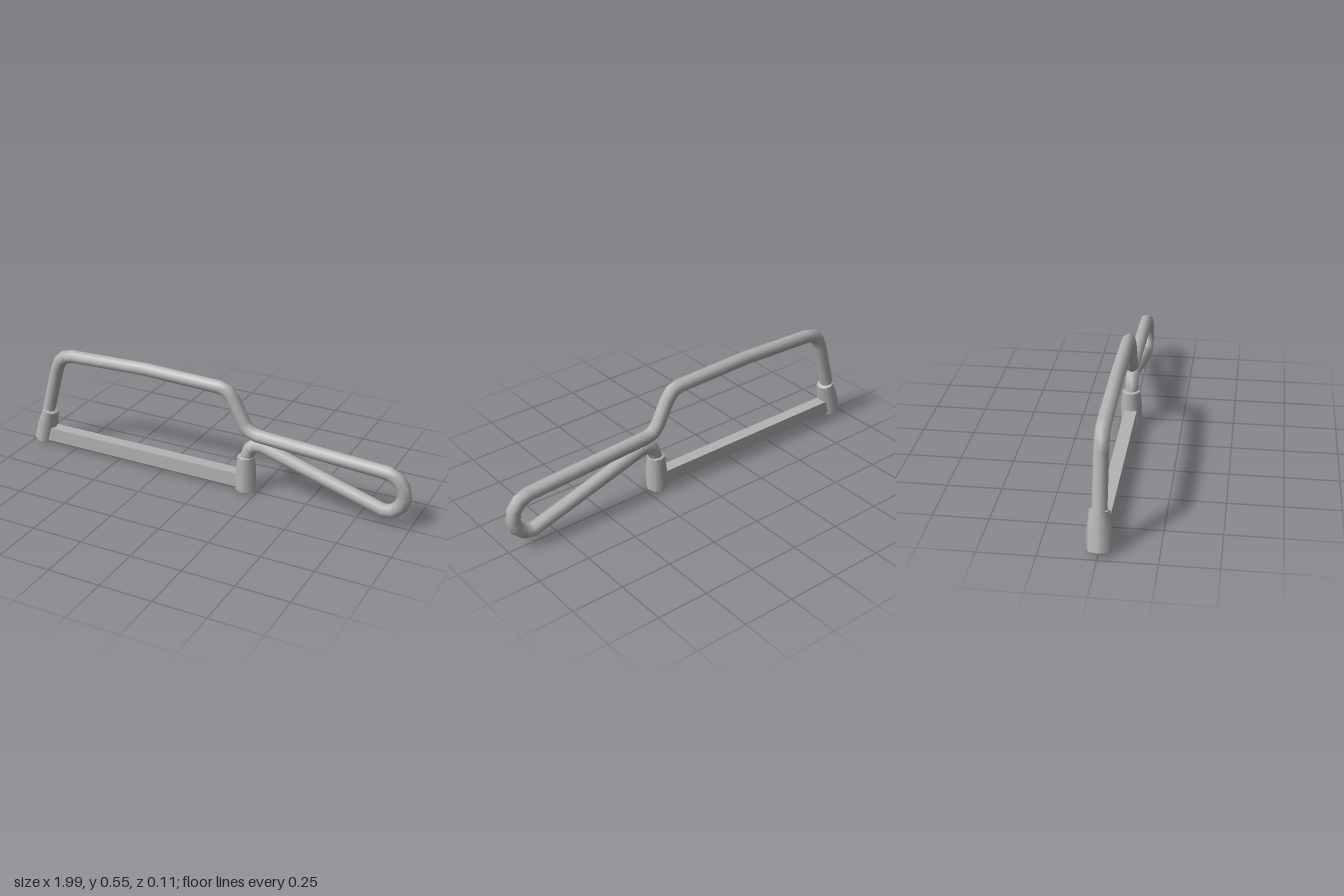
import * as THREE from 'three';
import { toCreasedNormals } from 'three/addons/utils/BufferGeometryUtils.js';

const SIDES = 8;

// Sweep a round bar along a path in the xy plane, with mitred joints
function bentBar(path, radius) {
  const pts = path.map(([x, y]) => new THREE.Vector2(x, y));
  const pos = [], index = [];
  pts.forEach((p, i) => {
    const before = p.clone().sub(pts[Math.max(i - 1, 0)]).normalize();
    const after = pts[Math.min(i + 1, pts.length - 1)].clone().sub(p).normalize();
    const dir = before.clone().add(after).normalize();
    const miter = radius / (i ? dir.dot(before) : 1);
    for (let j = 0; j < SIDES; j++) {
      const a = (j / SIDES) * Math.PI * 2, n = Math.cos(a) * miter;
      pos.push(p.x - dir.y * n, p.y + dir.x * n, Math.sin(a) * radius);
      if (i === pts.length - 1) continue;
      const k = i * SIDES + j, l = i * SIDES + ((j + 1) % SIDES);
      index.push(k, l, k + SIDES, l, l + SIDES, k + SIDES);
    }
  });
  const geo = new THREE.BufferGeometry();
  geo.setAttribute('position', new THREE.Float32BufferAttribute(pos, 3));
  geo.setIndex(index);
  geo.computeVertexNormals();
  return geo;
}

export function createModel() {
  const group = new THREE.Group();
  const steel = new THREE.MeshStandardMaterial({ color: 0xb3b3b3 });
  steel.name = 'steel grey';

  function add(name, geometry) {
    const mesh = new THREE.Mesh(geometry, steel);
    mesh.name = name;
    group.add(mesh);
    return mesh;
  }

  // One continuous rod: front leg, arched top, neck and looped handle
  add('frameAndHandle', bentBar([
    [-0.93, 0.12], [-0.845, 0.42], [-0.825, 0.465], [-0.795, 0.492], [-0.75, 0.503],
    [-0.35, 0.516], [0.05, 0.505], [0.09, 0.493], [0.122, 0.455],
    [0.178, 0.345], [0.205, 0.313], [0.25, 0.3],
    [0.88, 0.262], [0.925, 0.243], [0.956, 0.205], [0.965, 0.157], [0.95, 0.112],
    [0.915, 0.08], [0.87, 0.071],
    [0.275, 0.25], [0.235, 0.247], [0.21, 0.225], [0.195, 0.185], [0.19, 0.12],
  ], 0.033));

  // Tapered sockets that hold the blade
  const profile = [[0, 0], [0.052, 0.008], [0.053, 0.1], [0.044, 0.178], [0.034, 0.183], [0, 0.183]]
    .map(([r, y]) => new THREE.Vector2(r, y));
  const socket = toCreasedNormals(new THREE.LatheGeometry(profile, SIDES), 0.9);
  const front = add('frontSocket', socket);
  front.position.set(-0.949, 0.012, 0);
  front.rotation.z = -0.27;
  front.scale.x = 0.94;
  const rear = add('rearSocket', socket);
  rear.position.set(0.19, 0.003, 0);
  rear.scale.x = 0.95;

  // Blade
  const blade = add('blade', new THREE.BoxGeometry(1.09, 0.07, 0.06));
  blade.position.set(-0.375, 0.058, 0);

  return group;
}
